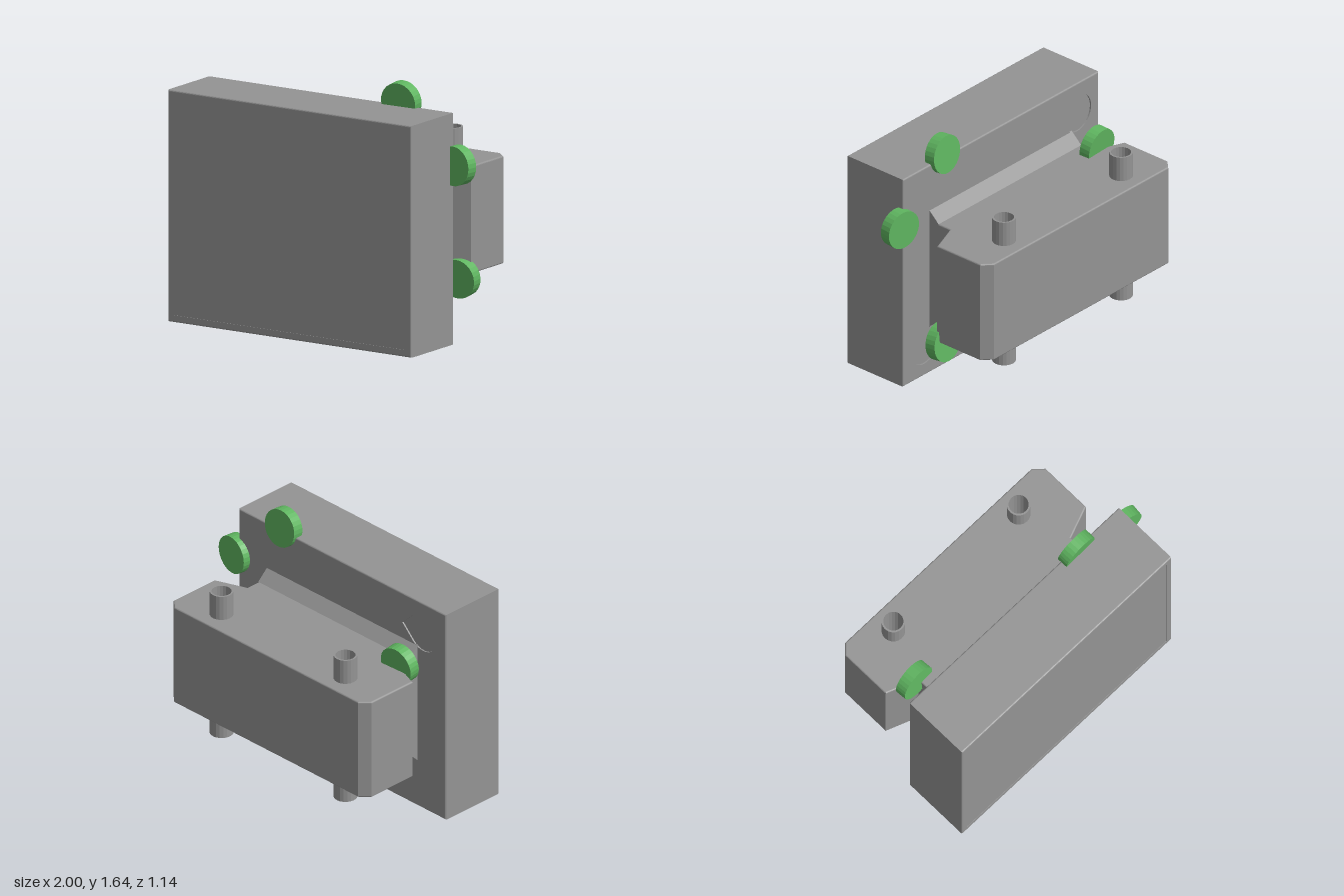
import * as THREE from 'three';

const grey = new THREE.MeshStandardMaterial({ color: 0x949494, flatShading: true });
const green = new THREE.MeshStandardMaterial({ color: 0x5fb560, flatShading: true });

// Plate extents and skin depth
const W = 1.843, H = 1.485, CX = -0.0785, CY = H / 2, BACK = 0.10, FRONT = 0.568, SKIN = 0.01;

function polygon(points) {
  return new THREE.Shape(points.map(([x, y]) => new THREE.Vector2(x, y)));
}

function rectangle(w, h) {
  return polygon([[-w / 2, -h / 2], [w / 2, -h / 2], [w / 2, h / 2], [-w / 2, h / 2]]);
}

// Teardrop outline whose tip points along dir on x
function teardrop(x, y, r, dir) {
  const pts = [[x + dir * r * Math.SQRT2, y]];
  for (let i = 0; i <= 24; i++) {
    const a = Math.PI / 4 + (i / 24) * Math.PI * 1.5;
    pts.push([x + dir * r * Math.cos(a), y + r * Math.sin(a)]);
  }
  return polygon(pts);
}

// Thin plate skin whose outer rim is rounded over; holes stay straight
function skin(holes) {
  const shape = rectangle(W, H);
  shape.holes.push(...holes);
  const geo = new THREE.ExtrudeGeometry(shape, { depth: SKIN, steps: 4, bevelEnabled: false });
  const p = geo.attributes.position;
  for (let i = 0; i < p.count; i++) {
    const a = (p.getZ(i) / SKIN) * Math.PI / 2;
    const inset = SKIN * (1 - Math.cos(a));
    const mx = W / 2 - inset, my = H / 2 - inset;
    p.setXYZ(i, THREE.MathUtils.clamp(p.getX(i), -mx, mx),
      THREE.MathUtils.clamp(p.getY(i), -my, my), SKIN * Math.sin(a));
  }
  geo.computeVertexNormals();
  return geo;
}

export function createModel() {
  const model = new THREE.Group();
  const add = (name, geo, mat = grey, parent = model) => {
    const mesh = new THREE.Mesh(geo, mat);
    mesh.name = name;
    parent.add(mesh);
    return mesh;
  };

  // Front plate: core, rim around a very shallow front panel, pocketed back face
  const plate = new THREE.Group();
  plate.name = 'frontPlate';
  model.add(plate);
  add('plateCore', new THREE.BoxGeometry(W, H, FRONT - BACK - 2 * SKIN), grey, plate)
    .position.set(CX, CY, (FRONT + BACK) / 2);
  add('frontRim', skin([rectangle(W - 0.09, H - 0.09)]), grey, plate)
    .position.set(CX, CY, FRONT - SKIN);
  add('frontPanel', new THREE.BoxGeometry(W - 0.09, H - 0.09, 0.014), grey, plate)
    .position.set(CX, CY, FRONT - 0.003 - 0.007);

  // Two magnet pockets on opposite corners of the back face, tips toward the middle
  const pockets = [teardrop(0.72, 0.53, 0.13, -1), teardrop(-0.72, -0.53, 0.13, 1)];
  const backSkin = add('pocketedBack', skin(pockets), grey, plate);
  backSkin.rotation.y = Math.PI;
  backSkin.position.set(CX, CY, BACK + SKIN);

  // Rear block and neck, extruded upward with pin holes and rounded edges
  const outline = polygon([
    [-0.75, -0.11], [0.593, -0.11], [0.593, 0.07], [0.804, 0.15], [0.804, 0.51], [0.74, 0.57],
    [-0.90, 0.57], [-0.96, 0.51], [-0.96, 0.15], [-0.75, 0.07],
  ]);
  const pins = [-0.63, 0.473], pinZ = -0.415;
  for (const x of pins) {
    outline.holes.push(new THREE.Path().absarc(x, -pinZ, 0.064, 0, Math.PI * 2, true));
  }
  const block = new THREE.ExtrudeGeometry(outline, {
    depth: 0.67, bevelSize: 0.01, bevelThickness: 0.01, bevelOffset: -0.01, bevelSegments: 4, curveSegments: 16,
  });
  block.rotateX(-Math.PI / 2);
  add('rearBlock', block).position.y = 0.41;

  // Flares joining neck to plate: whole above, interrupted by a small notch below
  const flare = (name, profile, x0, x1) => {
    const geo = new THREE.ExtrudeGeometry(polygon(profile), { depth: x1 - x0, bevelEnabled: false });
    add(name, geo.rotateY(-Math.PI / 2)).position.x = x1;
  };
  flare('upperFlare', [[0.105, 1.07], [0.105, 1.165], [0.025, 1.09], [0.025, 1.07]], -0.75, 0.593);
  const lower = [[0.025, 0.42], [0.025, 0.40], [0.105, 0.325], [0.105, 0.42]];
  flare('lowerFlare', lower, -0.75, 0.13);
  flare('lowerFlare', lower, 0.27, 0.593);

  // Hollow pins running through the block
  const wall = [[0.063, 0.233], [0.075, 0.233], [0.075, 1.257], [0.063, 1.257], [0.063, 0.233]]
    .map(([r, y]) => new THREE.Vector2(r, y));
  for (const x of pins) {
    add('hollowPin', new THREE.LatheGeometry(wall, 20)).position.set(x, 0, pinZ);
  }

  // Loose magnet discs, each slightly tilted: x, y, z, tilt x, tilt y
  const disc = new THREE.CylinderGeometry(0.127, 0.127, 0.075, 28).rotateX(Math.PI / 2);
  const discs = [
    [0.457, 1.511, 0.113, 0.09, 0.03],
    [0.87, 1.151, 0.102, 0, -0.11],
    [0.732, 0.37, -0.137, 0.1, 0.02],
    [-0.777, 1.116, -0.083, -0.08, 0.05],
  ];
  for (const [x, y, z, rx, ry] of discs) {
    const m = add('magnetDisc', disc, green);
    m.position.set(x, y, z);
    m.rotation.set(rx, ry, 0);
  }
  return model;
}
